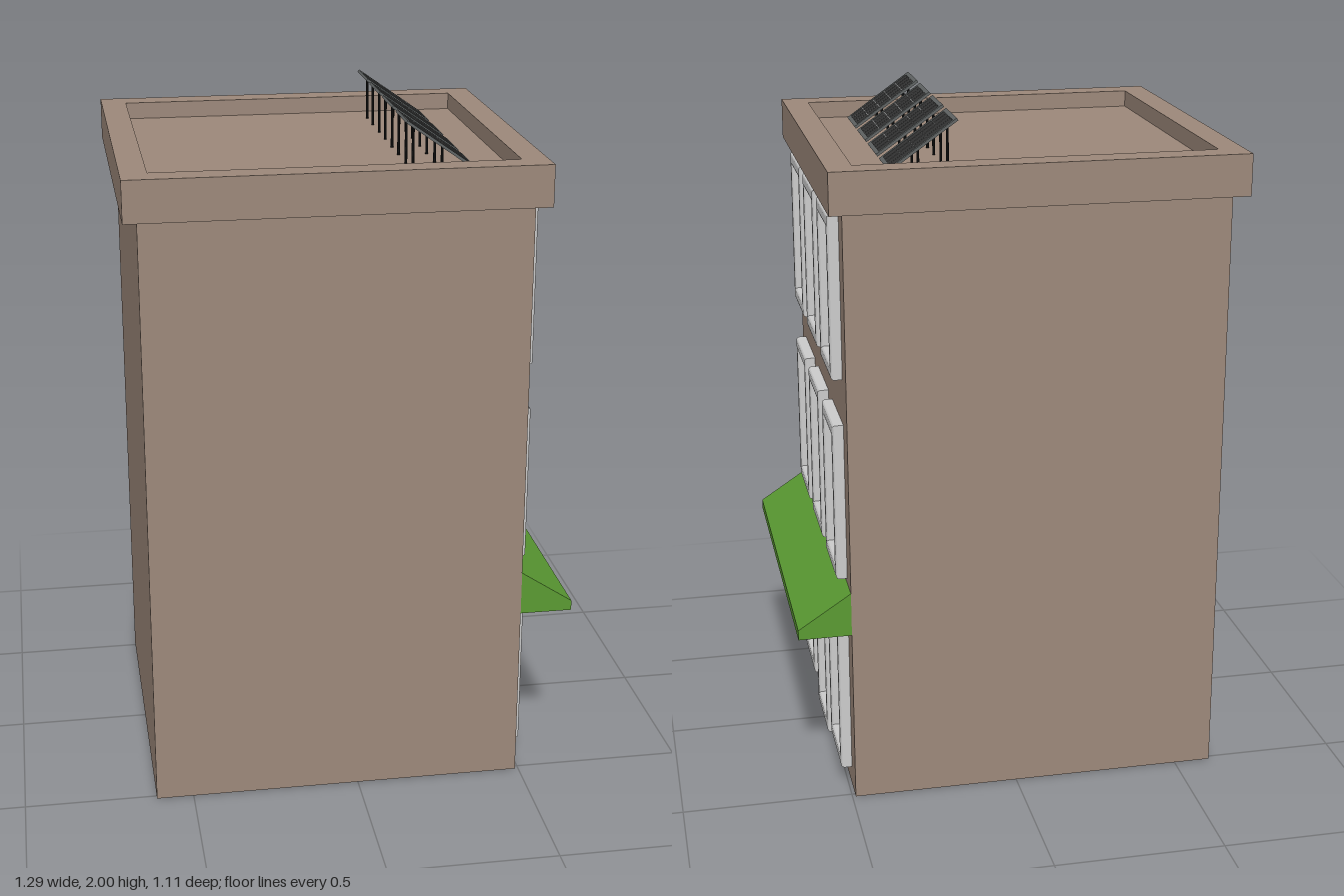
import * as THREE from 'three';

const material = (color) => new THREE.MeshStandardMaterial({ color, flatShading: true });

export function createModel() {
  const model = new THREE.Group();
  const wall = material(0x9c887a);
  const trim = material(0xcccccc);
  const green = material(0x5a9a32);
  const cell = material(0x333333);
  const metal = material(0x606464);
  const gridLine = material(0x8a8c8c);
  const black = material(0x151515);

  const add = (parent, name, geometry, mat, x = 0, y = 0, z = 0) => {
    const mesh = new THREE.Mesh(geometry, mat);
    mesh.name = name;
    mesh.position.set(x, y, z);
    parent.add(mesh);
    return mesh;
  };
  const rectangle = (path, w, h) => path
    .moveTo(-w / 2, -h / 2).lineTo(w / 2, -h / 2)
    .lineTo(w / 2, h / 2).lineTo(-w / 2, h / 2).closePath();
  const ring = (w, h, innerW, innerH, options) => {
    const shape = new THREE.Shape();
    rectangle(shape, w, h);
    const hole = new THREE.Path();
    rectangle(hole, innerW, innerH);
    shape.holes.push(hole);
    return new THREE.ExtrudeGeometry(shape, { bevelEnabled: false, ...options });
  };

  // Main block, running up to the sunken roof
  add(model, 'walls', new THREE.BoxGeometry(1.1, 1.85, 1.03), wall, -0.06, 0.925, 0);

  // Overhanging parapet around the roof, plus the roof deck inside it
  const parapet = ring(1.18, 1.108, 1.03, 0.954, { depth: 0.12 });
  parapet.rotateX(-Math.PI / 2);
  add(model, 'parapet', parapet, wall, -0.06, 1.78, 0);

  // Window and door surrounds on the +x facade
  const bevel = 0.009;
  const surround = ring(0.235, 0.472, 0.168, 0.394, {
    depth: 0.024, bevelEnabled: true, bevelThickness: bevel,
    bevelSize: bevel, bevelOffset: -bevel, bevelSegments: 3,
  });
  surround.rotateY(Math.PI / 2);
  [0.296, 0.914, 1.521].forEach((y, floor) => {
    [-1, 0, 1].forEach((column) => {
      const isDoor = floor === 0 && column === 0;
      add(model, isDoor ? 'doorFrame' : 'windowFrame', surround, trim,
        0.489, isDoor ? 0.246 : y, -0.006 + column * 0.319);
    });
  });

  // Sloping awning
  const profile = new THREE.Shape();
  profile.moveTo(0.49, 0.53).lineTo(0.645, 0.53).lineTo(0.645, 0.56).lineTo(0.49, 0.662).closePath();
  add(model, 'awning',
    new THREE.ExtrudeGeometry(profile, { depth: 1.03, bevelEnabled: false }), green, 0, 0, -0.515);

  // Row of tilted solar panels on posts
  const length = 0.236, width = 0.156, rim = 0.012, tilt = 0.61;
  const frame = ring(length, width, length - 2 * rim, width - 2 * rim, { depth: 0.008 });
  frame.rotateX(-Math.PI / 2);
  for (let i = 0; i < 4; i++) {
    const z = (i - 1.5) * 0.21;
    const panel = new THREE.Group();
    panel.name = 'solarPanel';
    panel.position.set(0.245, 1.929, z);
    panel.rotation.z = -tilt;
    model.add(panel);
    add(panel, 'panelFrame', frame, metal, 0, -0.004, 0);
    add(panel, 'panelCells', new THREE.BoxGeometry(length - 2 * rim, 0.005, width - 2 * rim), cell);
    for (let k = 1; k < 5; k++) {
      add(panel, 'cellDivider', new THREE.BoxGeometry(0.002, 0.001, width - 2 * rim), gridLine,
        (k / 5 - 0.5) * (length - 2 * rim), 0.003, 0);
    }
    for (let k = 1; k < 4; k++) {
      add(panel, 'cellDivider', new THREE.BoxGeometry(length - 2 * rim, 0.001, 0.002), gridLine,
        0, 0.003, (k / 4 - 0.5) * (width - 2 * rim));
    }

    // Tall rear posts and short front posts
    for (const x of [0.172, 0.255]) {
      const height = 1.929 - (x - 0.245) * Math.tan(tilt) - 1.85;
      for (const side of [-1, 1]) {
        add(model, 'panelPost', new THREE.CylinderGeometry(0.004, 0.004, height, 8), black,
          x, 1.85 + height / 2, z + side * 0.05);
      }
    }
  }
  // Deck strip filling the parapet opening
  add(model, 'roofDeck', new THREE.BoxGeometry(1.03, 0.06, 0.954), wall, -0.06, 1.8205, 0);
  return model;
}
